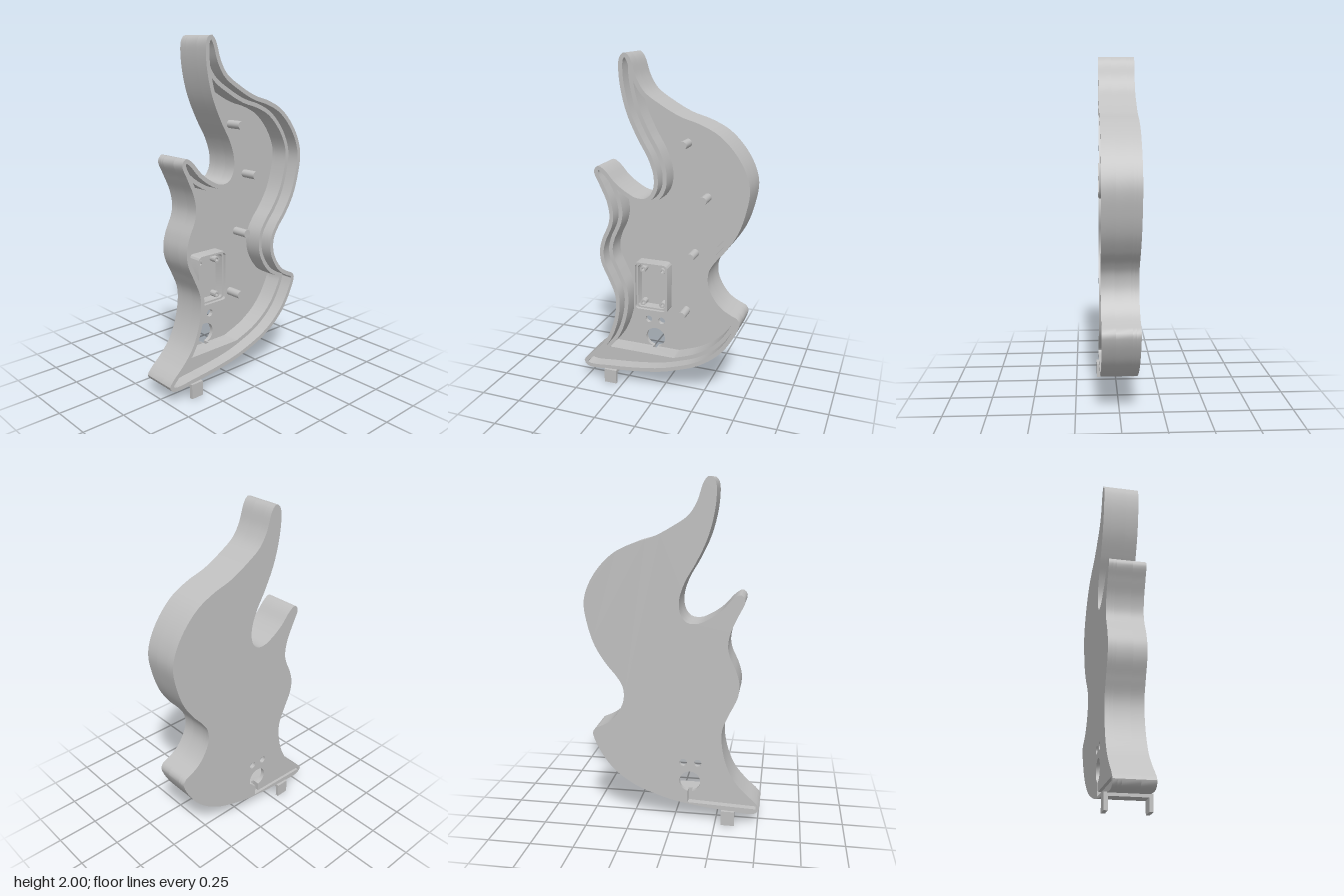
import * as THREE from 'three';
import { toCreasedNormals } from 'three/addons/utils/BufferGeometryUtils.js';

const BACK = -0.105, FLOOR = -0.08, GROOVE = -0.06, LEDGE = 0.03, FRONT = 0.105;
const BLOCK_TOP = 0.2;

// Flame-like body outline, clockwise from the top tip
const OUTLINE = [
  [-0.19, 2.0], [-0.165, 1.97], [-0.13, 1.87], [-0.085, 1.8], [0.01, 1.735], [0.12, 1.678], [0.23, 1.643],
  [0.333, 1.592], [0.418, 1.512], [0.483, 1.41], [0.511, 1.31], [0.493, 1.18], [0.453, 1.06], [0.392, 0.96],
  [0.327, 0.88], [0.294, 0.82], [0.291, 0.745], [0.322, 0.67], [0.372, 0.61], [0.432, 0.575], [0.465, 0.56],
  [0.481, 0.532], [0.478, 0.513], [0.458, 0.46], [0.4, 0.36], [0.325, 0.28], [0.22, 0.21], [0.115, 0.168],
  [0, 0.133], [-0.15, 0.107], [-0.31, 0.09], [-0.485, 0.083], [-0.51, 0.115], [-0.485, 0.15], [-0.415, 0.215],
  [-0.35, 0.295], [-0.305, 0.4], [-0.283, 0.52], [-0.288, 0.6], [-0.325, 0.69], [-0.37, 0.79],
  [-0.378, 0.865], [-0.36, 0.94], [-0.32, 1.03], [-0.31, 1.085], [-0.325, 1.17], [-0.365, 1.26],
  [-0.4, 1.34], [-0.39, 1.365], [-0.37, 1.375], [-0.33, 1.35], [-0.27, 1.285], [-0.2, 1.235],
  [-0.135, 1.207], [-0.075, 1.215], [-0.04, 1.265], [-0.035, 1.34], [-0.065, 1.435], [-0.13, 1.55],
  [-0.19, 1.68], [-0.225, 1.815], [-0.235, 1.92], [-0.23, 1.97], [-0.213, 1.996],
];

// Cable groove: down from the block top, then along the bottom to the corner
const GROOVE_PATH = [[-0.0875, 0.125], [-0.488, 0.11], [-0.488, 0.13], [-0.1125, 0.145]]
  .map(([x, y]) => new THREE.Vector2(x, y));

function sampleOutline() {
  const curve = new THREE.CatmullRomCurve3(OUTLINE.map(([x, y]) => new THREE.Vector3(x, y, 0)), true);
  return curve.getSpacedPoints(320).slice(0, -1).map((p) => new THREE.Vector2(p.x, p.y));
}

// Parallel inner outline; points that come too close to the edge are dropped
function inset(points, d) {
  const n = points.length;
  return points.map((p, i) => {
    const t = points[(i + 1) % n].clone().sub(points[(i + n - 1) % n]).normalize();
    return new THREE.Vector2(p.x + t.y * d, p.y - t.x * d);
  }).filter((q) => points.every((p) => p.distanceTo(q) > d * 0.985));
}

function circle(x, y, r) {
  return new THREE.Path().absarc(x, y, r, 0, Math.PI * 2, true);
}

function roundedRect(x0, y0, x1, y1, r) {
  const s = new THREE.Shape();
  s.absarc(x1 - r, y1 - r, r, 0, Math.PI / 2);
  s.absarc(x0 + r, y1 - r, r, Math.PI / 2, Math.PI);
  s.absarc(x0 + r, y0 + r, r, Math.PI, Math.PI * 1.5);
  s.absarc(x1 - r, y0 + r, r, Math.PI * 1.5, Math.PI * 2);
  s.closePath();
  return s;
}

export function createModel() {
  const model = new THREE.Group();
  const grey = new THREE.MeshStandardMaterial({ color: 0xc0c0c0 });
  grey.name = 'plain grey';

  function add(name, geometry) {
    const mesh = new THREE.Mesh(geometry, grey);
    mesh.name = name;
    model.add(mesh);
  }
  function slab(name, shape, z0, z1, holes = []) {
    shape.holes.push(...holes);
    const g = new THREE.ExtrudeGeometry(shape, { depth: z1 - z0, bevelEnabled: false, curveSegments: 12 });
    g.translate(0, 0, z0);
    add(name, toCreasedNormals(g, 0.6));
  }
  function box(name, x0, x1, y0, y1, z0, z1) {
    const g = new THREE.BoxGeometry(x1 - x0, y1 - y0, z1 - z0);
    g.translate((x0 + x1) / 2, (y0 + y1) / 2, (z0 + z1) / 2);
    add(name, g);
  }

  const edge = sampleOutline();
  const body = () => new THREE.Shape([...edge].reverse()); // counter-clockwise, so holes face inwards

  // Back plate with two small holes and a keyhole leading into the cable groove
  const keyhole = new THREE.Path();
  keyhole.absarc(-0.1, 0.26, 0.062, -Math.PI / 2 + 0.2, Math.PI * 1.5 - 0.2, false);
  [...GROOVE_PATH].reverse().forEach((p) => keyhole.lineTo(p.x, p.y));
  keyhole.closePath();
  slab('backPlate', body(), BACK, FLOOR,
    [keyhole, circle(-0.145, 0.378, 0.022), circle(-0.06, 0.378, 0.022)]);

  // Thick lower wall, filled up to a flat block along the bottom
  const inner = inset(edge, 0.048);
  const split = inner.findIndex((p) => p.y < BLOCK_TOP);
  const above = (p) => p.y >= BLOCK_TOP;
  const rightSide = inner.slice(0, split), leftSide = inner.slice(split).filter(above);
  const corner = (x) => new THREE.Vector2(x, BLOCK_TOP - 0.001);
  const cavity = (notch) => new THREE.Path([...rightSide, corner(rightSide[split - 1].x - 0.01), ...notch,
    corner(leftSide[0].x), ...leftSide]);
  slab('groovedWall', body(), FLOOR, GROOVE, [cavity([corner(-0.0875), ...GROOVE_PATH, corner(-0.1125)])]);
  slab('lowerWall', body(), GROOVE, LEDGE, [cavity([])]);

  // Thin rim that leaves a ledge inside
  slab('upperRim', body(), LEDGE, FRONT, [new THREE.Path(inset(edge, 0.024))]);

  // Round posts
  for (const [x, y] of [[0.102, 1.505], [0.222, 1.2], [0.152, 0.855], [0.102, 0.48]]) {
    const g = new THREE.CylinderGeometry(0.024, 0.024, 0.1, 24);
    g.rotateX(Math.PI / 2).translate(x, y, FLOOR + 0.05);
    add('post', g);
  }

  // Small open compartment with a stepped wall and four screw bosses
  const [x0, x1, y0, y1] = [-0.21, 0.006, 0.468, 0.778];
  const ring = (name, w, z0, z1) => slab(name, roundedRect(x0, y0, x1, y1, 0.028), z0, z1,
    [roundedRect(x0 + w, y0 + w, x1 - w, y1 - w, 0.02)]);
  ring('compartmentWall', 0.02, FLOOR, -0.02);
  ring('compartmentRim', 0.01, -0.02, 0.0);
  for (const x of [-0.165, -0.04]) {
    for (const y of [0.505, 0.723]) {
      const boss = new THREE.Shape().absarc(x, y, 0.019, 0, Math.PI * 2, false);
      slab('screwBoss', boss, FLOOR, -0.035, [circle(x, y, 0.009)]);
    }
  }

  // Bracket under the lower corner
  box('bracketBar', -0.366, -0.287, 0.068, 0.088, -0.12, 0.12);
  box('bracketLeg', -0.366, -0.287, 0, 0.068, 0.1, 0.12);
  box('bracketLeg', -0.366, -0.287, 0, 0.068, -0.12, -0.1);
  return model;
}
